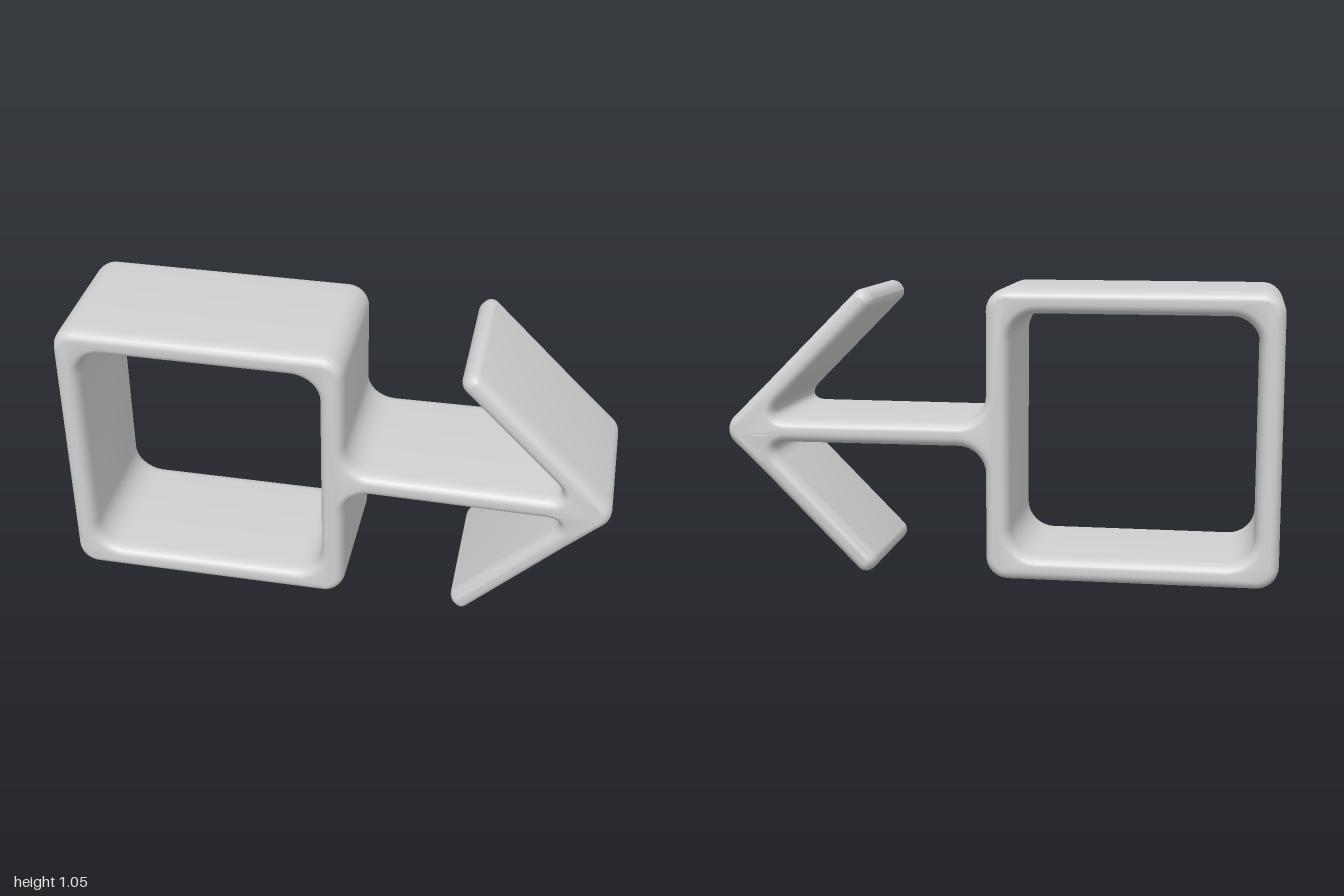
import * as THREE from 'three';
import { toCreasedNormals } from 'three/addons/utils/BufferGeometryUtils.js';

const MID = 0.525; // height of the mirror line through the stem

// Closed outline with rounded corners; each point is [x, y, rounding length]
function rounded(path, points) {
  const n = points.length;
  const P = points.map(([x, y]) => new THREE.Vector2(x, y));
  const toward = (a, b, d) => a.clone().add(b.clone().sub(a).setLength(d));
  P.forEach((p, i) => {
    const r = points[i][2];
    const prev = P[(i + n - 1) % n], next = P[(i + 1) % n];
    const a = toward(p, prev, r), b = toward(p, next, r);
    const c1 = a.clone().lerp(p, 0.55), c2 = b.clone().lerp(p, 0.55);
    if (i === 0) path.moveTo(a.x, a.y);
    else path.lineTo(a.x, a.y);
    path.bezierCurveTo(c1.x, c1.y, c2.x, c2.y, b.x, b.y);
  });
  path.closePath();
  return path;
}

export function createModel() {
  const grey = new THREE.MeshStandardMaterial({ color: 0xd0d0d0 });
  grey.name = 'lightGrey';

  // Lower half of the outline, from the frame's outer corner to the arrow tip
  const lower = [
    [-1, 0, 0.08],
    [0.045, 0, 0.08],
    [0.045, 0.482, 0.1],      // fillet between frame and stem
    [0.862, 0.482, 0.09],     // notch behind the arrowhead
    [0.433, 0.051, 0.037],    // rounded end of the barb
    [0.491, -0.007, 0.037],
    [0.86, 0.362, 0.02],      // start of the swelling towards the tip
  ];
  const upper = lower.map(([x, y, r]) => [x, 2 * MID - y, r]).reverse();
  const shape = rounded(new THREE.Shape(), [...lower, [1.025, MID, 0.065], ...upper]);

  // Square opening of the frame, wound against the outline
  shape.holes.push(rounded(new THREE.Path(), [
    [-0.915, 0.088, 0.1], [-0.915, 0.962, 0.1], [-0.042, 0.962, 0.1], [-0.042, 0.088, 0.1],
  ]));

  const half = 0.276, bevel = 0.05;
  const extruded = new THREE.ExtrudeGeometry(shape, {
    depth: 2 * (half - bevel), curveSegments: 8,
    bevelEnabled: true, bevelThickness: bevel, bevelSize: 0.032, bevelOffset: -0.032, bevelSegments: 5,
  });
  extruded.translate(0, 0, bevel - half);

  // The arrowhead is slightly deeper than the frame, most of all near its tip
  const pos = extruded.attributes.position;
  for (let i = 0; i < pos.count; i++) {
    const x = pos.getX(i), y = pos.getY(i);
    const d2 = (x - 0.9) ** 2 + (y - MID) ** 2;
    const swell = 1 + 0.025 * THREE.MathUtils.smoothstep(x, 0.35, 0.5) + 0.035 * Math.exp(-d2 / 0.015);
    pos.setZ(i, pos.getZ(i) * swell);
  }

  // Frame, stem and arrowhead form one welded solid
  const body = new THREE.Mesh(toCreasedNormals(extruded, 0.7), grey);
  body.name = 'frameWithArrow';

  const group = new THREE.Group();
  group.name = 'arrowFrame';
  group.add(body);
  return group;
}
